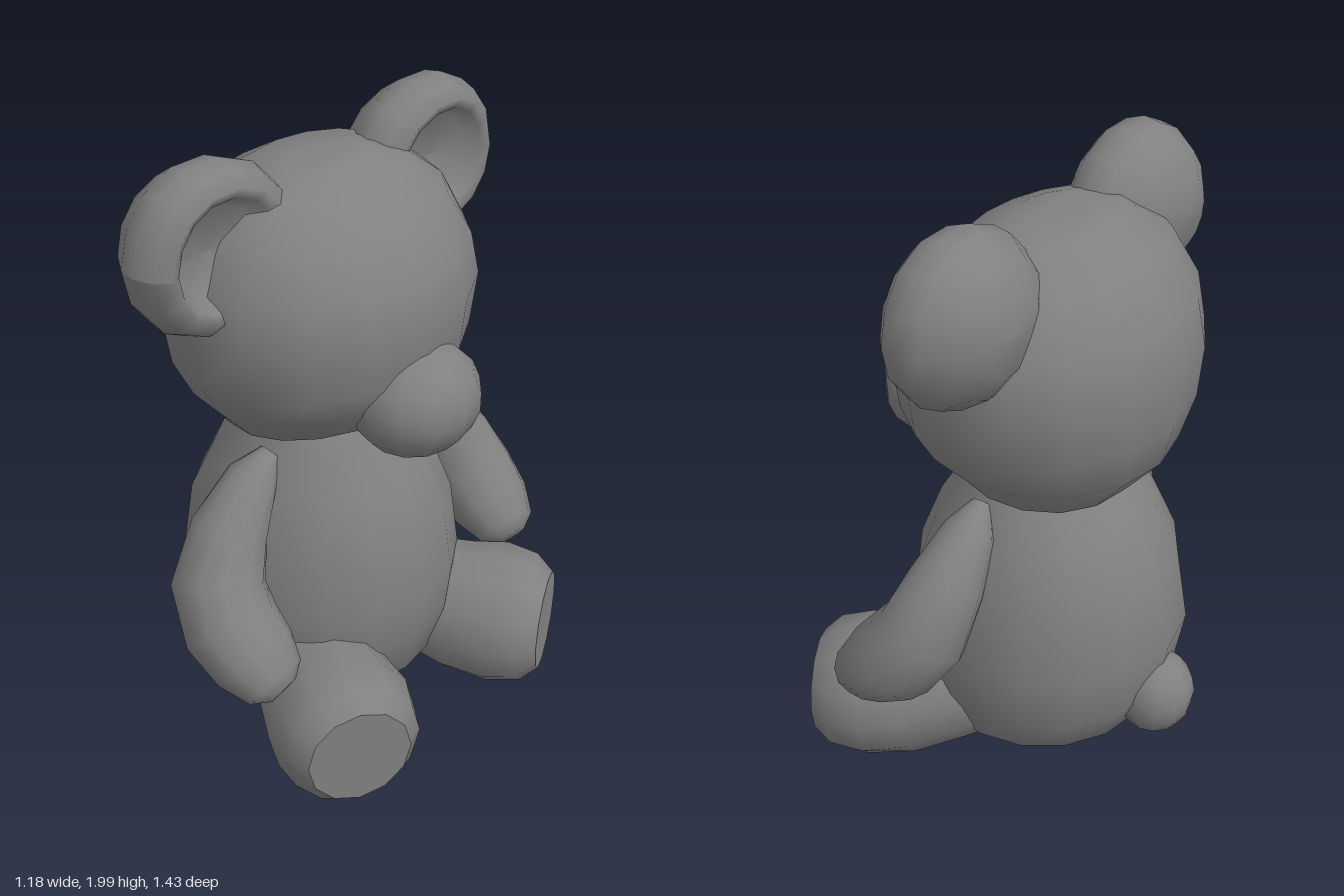
import * as THREE from 'three';
import { toCreasedNormals } from 'three/addons/utils/BufferGeometryUtils.js';

const V = (x, y, z) => new THREE.Vector3(x, y, z);

// Closed skin over elliptical rings [x, y, z, radiusU, radiusV], set square to their path
function loft(rings, sides = 14) {
  const centres = rings.map((r) => V(r[0], r[1], r[2]));
  const last = rings.length - 1;
  const pos = [], idx = [];
  rings.forEach((r, i) => {
    const t = centres[Math.min(i + 1, last)].clone().sub(centres[Math.max(i - 1, 0)]).normalize();
    const u = t.clone().cross(V(0, 0, 1)).normalize();
    const v = t.clone().cross(u);
    for (let j = 0; j < sides; j++) {
      const a = (j / sides) * Math.PI * 2;
      const p = centres[i].clone()
        .addScaledVector(u, Math.cos(a) * r[3])
        .addScaledVector(v, Math.sin(a) * (r[4] ?? r[3]));
      pos.push(p.x, p.y, p.z);
    }
  });
  pos.push(...centres[0].toArray(), ...centres[last].toArray());
  const start = rings.length * sides, end = start + 1;
  for (let j = 0; j < sides; j++) {
    const k = (j + 1) % sides;
    for (let i = 0; i < last; i++) {
      const a = i * sides + j, b = i * sides + k;
      idx.push(a, b, b + sides, a, b + sides, a + sides);
    }
    idx.push(start, k, j, end, last * sides + j, last * sides + k);
  }
  const geo = new THREE.BufferGeometry();
  geo.setAttribute('position', new THREE.Float32BufferAttribute(pos, 3));
  geo.setIndex(idx);
  geo.computeVertexNormals();
  return geo;
}

// Round ear facing +x with a hollow front, stretched towards the head
function earGeometry(side) {
  const profile = [[0, -0.21], [0.11, -0.2], [0.19, -0.15], [0.245, -0.07], [0.255, -0.01],
    [0.235, 0.05], [0.195, 0.085], [0.165, 0.07], [0.13, 0.02], [0, 0]];
  const geo = new THREE.LatheGeometry(profile.map(([r, y]) => new THREE.Vector2(r, y)), 14);
  geo.rotateZ(-Math.PI / 2);
  const p = geo.attributes.position;
  for (let i = 0; i < p.count; i++) {
    if (p.getZ(i) * side < 0) p.setZ(i, p.getZ(i) * 1.2);
  }
  geo.computeVertexNormals();
  return geo;
}

export function createModel() {
  const bear = new THREE.Group();
  bear.name = 'teddyBear';
  const grey = new THREE.MeshStandardMaterial({ color: 0x808080 });
  grey.name = 'plainGrey';
  const add = (name, geo, x = 0, y = 0, z = 0) => {
    const mesh = new THREE.Mesh(geo, grey);
    mesh.name = name;
    mesh.position.set(x, y, z);
    bear.add(mesh);
    return mesh;
  };

  // Pear-shaped body
  add('body', loft([
    [-0.05, 0.08, 0, 0.15, 0.15], [-0.05, 0.11, 0, 0.25, 0.26], [-0.045, 0.2, 0, 0.36, 0.37],
    [-0.055, 0.35, 0, 0.42, 0.43], [-0.065, 0.52, 0, 0.445, 0.45], [-0.06, 0.75, 0, 0.41, 0.42],
    [-0.05, 0.93, 0, 0.33, 0.35], [-0.04, 1.06, 0, 0.23, 0.27], [-0.04, 1.14, 0, 0.2, 0.24],
  ], 16));

  // Wide head with a flattened crown
  add('head', loft([
    [-0.04, 1.04, 0, 0.2, 0.24], [-0.05, 1.08, 0, 0.28, 0.31], [-0.065, 1.2, 0, 0.385, 0.42],
    [-0.065, 1.32, 0, 0.425, 0.49], [-0.065, 1.48, 0, 0.437, 0.52], [-0.065, 1.62, 0, 0.41, 0.495],
    [-0.055, 1.76, 0, 0.325, 0.42], [-0.04, 1.85, 0, 0.2, 0.29], [-0.04, 1.88, 0, 0.08, 0.15],
  ], 16));

  // Snout and tail
  const snout = add('snout', new THREE.SphereGeometry(1, 12, 9), 0.31, 1.225, -0.015);
  snout.scale.set(0.19, 0.175, 0.21);
  const tail = add('tail', new THREE.SphereGeometry(1, 12, 8), -0.465, 0.315, 0.01);
  tail.scale.set(0.125, 0.14, 0.13);

  for (const s of [1, -1]) {
    const side = s > 0 ? 'Upper' : 'Lower';
    const label = s > 0 ? 'right' : 'left';
    add(label + 'Ear', earGeometry(s), -0.045, 1.745, s * 0.46);

    // Arm curving down and forward to a rounded paw
    add(label + 'Arm', loft([
      [-0.005, 1.03, s * 0.28, 0.03, 0.03], [-0.01, 0.97, s * 0.35, 0.08, 0.08],
      [0.0, 0.84, s * 0.46, 0.115, 0.125], [0.03, 0.7, s * 0.54, 0.14, 0.145],
      [0.11, 0.59, s * 0.565, 0.145, 0.15], [0.2, 0.52, s * 0.56, 0.125, 0.14],
      [0.275, 0.465, s * 0.55, 0.09, 0.105], [0.305, 0.445, s * 0.545, 0.045, 0.05],
    ], 12));

    // Leg splayed outwards, ending in a flat sole
    const dz = -0.02;
    add(label + 'Leg', toCreasedNormals(loft([
      [-0.02, 0.32, s * 0.17 + dz, 0.16], [0.12, 0.28, s * 0.25 + dz, 0.19],
      [0.25, 0.245, s * 0.32 + dz, 0.22], [0.37, 0.24, s * 0.38 + dz, 0.237],
      [0.465, 0.24, s * 0.43 + dz, 0.215], [0.515, 0.24, s * 0.455 + dz, 0.165],
    ], 12), 0.8));
  }
  return bear;
}
